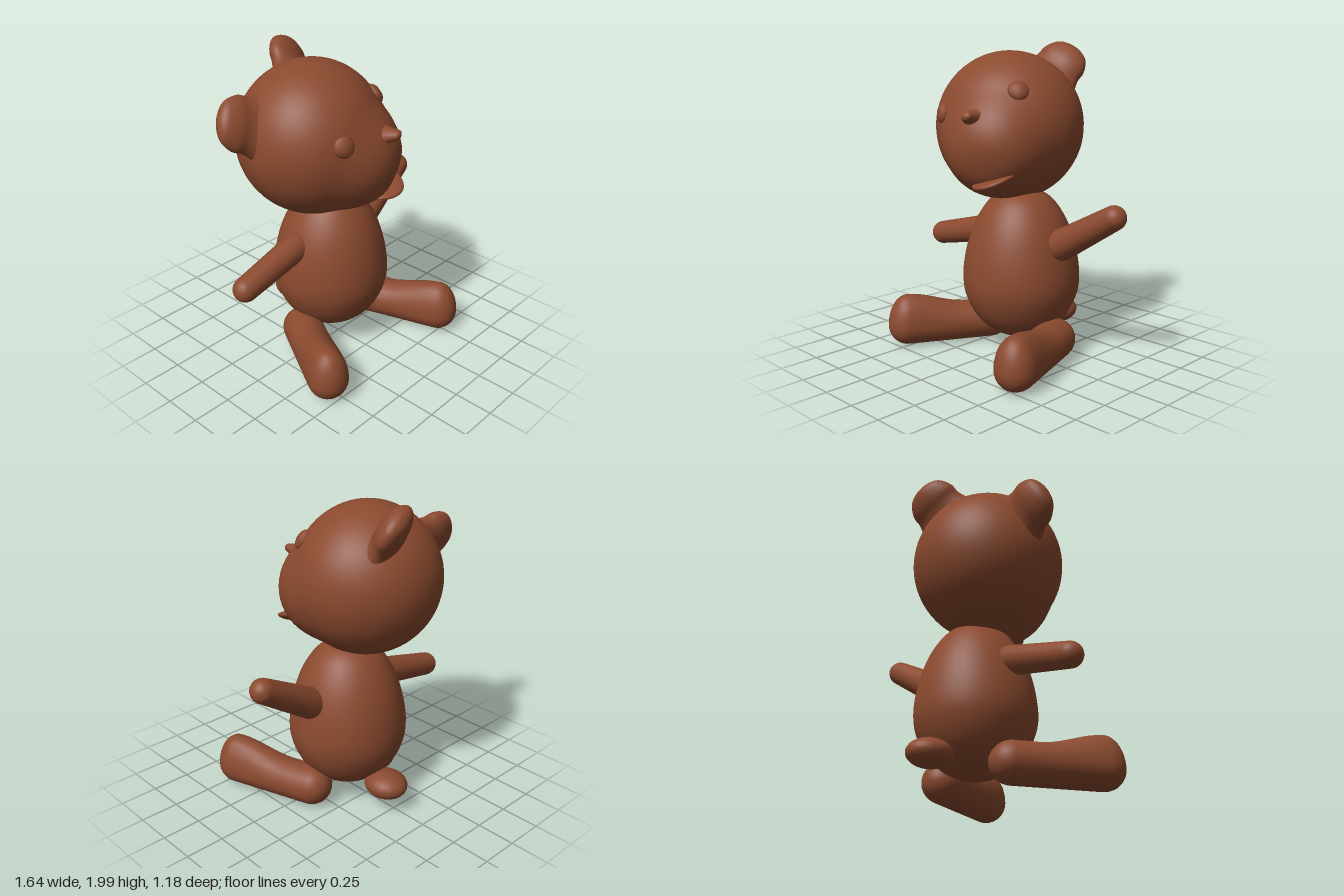
import * as THREE from 'three';
import { mergeVertices } from 'three/addons/utils/BufferGeometryUtils.js';

const fur = new THREE.MeshStandardMaterial({ color: 0x8b4a2f });
const V = (x, y, z) => new THREE.Vector3(x, y, z);

// Move every vertex by a rule, weld the seams and smooth the normals
function smooth(geometry, rule = () => {}) {
  const p = geometry.attributes.position, v = V(0, 0, 0);
  for (let i = 0; i < p.count; i++) {
    v.fromBufferAttribute(p, i);
    rule(v);
    p.setXYZ(i, v.x, v.y, v.z);
  }
  geometry.deleteAttribute('uv');
  geometry.deleteAttribute('normal');
  const welded = mergeVertices(geometry, 1e-4);
  welded.computeVertexNormals();
  return welded;
}

function add(parent, name, geometry, position) {
  const mesh = new THREE.Mesh(geometry, fur);
  mesh.name = name;
  mesh.position.copy(position);
  parent.add(mesh);
  return mesh;
}

function ellipsoid(rx, ry, rz, segments = 24) {
  return smooth(new THREE.SphereGeometry(1, segments, Math.ceil(segments * 0.7)).scale(rx, ry, rz));
}

// Round solid from [radius, height] points, softened by a spline
function turned(points, steps = 32, segments = 32) {
  const spline = new THREE.SplineCurve(points.map(([r, y]) => new THREE.Vector2(r, y)));
  const profile = spline.getPoints(steps).map((p) => p.setX(Math.max(p.x, 0)));
  return new THREE.LatheGeometry(profile, segments);
}

// Tapered round-ended limb from a to b; lift raises the upper side near the end
function limb(parent, name, a, b, ra, rb, lift = 0) {
  const length = a.distanceTo(b), profile = [];
  for (let i = 0; i <= 10; i++) {
    const t = (i / 10 - 1) * Math.PI / 2;
    profile.push(new THREE.Vector2(ra * Math.cos(t), ra * Math.sin(t)));
  }
  for (let i = 1; i < 12; i++) {
    profile.push(new THREE.Vector2(THREE.MathUtils.lerp(ra, rb, i / 12), length * i / 12));
  }
  for (let i = 0; i <= 10; i++) {
    const t = i / 10 * Math.PI / 2;
    profile.push(new THREE.Vector2(rb * Math.cos(t), length + rb * Math.sin(t)));
  }
  profile[0].x = profile[profile.length - 1].x = 0;
  const geometry = smooth(new THREE.LatheGeometry(profile, 24).rotateX(Math.PI / 2), (v) => {
    if (v.y > 0) v.y *= 1 + lift * THREE.MathUtils.smoothstep(v.z, length * 0.3, length);
  });
  add(parent, name, geometry, a).lookAt(b);
}

function createHead() {
  const head = new THREE.Group();
  head.name = 'head';

  // Skull with a flatter face and a swollen muzzle
  const muzzle = V(0, -0.5, 0.87).normalize();
  const skull = smooth(new THREE.SphereGeometry(0.48, 56, 40), (v) => {
    const angle = v.angleTo(muzzle);
    if (v.z > 0) v.z *= 0.94;
    v.multiplyScalar(1 + 0.22 * (1 - THREE.MathUtils.smoothstep(angle, 0.15, 0.95)));
  });
  add(head, 'skull', skull, V(0, 0, 0));

  for (const [side, s] of [['left', 1], ['right', -1]]) {
    // Ear: flat rounded flap with a flared root
    const ear = turned([[0.26, 0.36], [0.2, 0.43], [0.17, 0.5], [0.165, 0.57],
      [0.125, 0.64], [0.07, 0.672], [0, 0.685]]).scale(1, 1, 0.5);
    const earMesh = add(head, side + 'Ear', smooth(ear), V(0, 0, 0));
    const up = V(s * 0.65, 0.65, -0.39).normalize();
    const across = V(up.y, -up.x, 0).normalize();
    earMesh.quaternion.setFromRotationMatrix(
      new THREE.Matrix4().makeBasis(across, up, across.clone().cross(up)));

    // Eye: flat button on the face
    const eye = add(head, side + 'Eye', ellipsoid(0.066, 0.066, 0.036, 10), V(s * 0.267, 0.115, 0.355));
    eye.quaternion.setFromUnitVectors(V(0, 0, 1), eye.position.clone().normalize());
  }

  // Small pointed nose
  const nose = turned([[0.1, -0.07], [0.065, -0.02], [0.045, 0.025], [0.03, 0.06], [0, 0.07]], 16, 16);
  add(head, 'nose', smooth(nose.rotateX(Math.PI / 2).scale(1, 0.75, 1)), V(0, 0, 0.515));

  // Jutting lip, bent upward at the corners
  const lip = smooth(new THREE.SphereGeometry(1, 28, 16).scale(0.145, 0.028, 0.09), (v) => {
    v.y += v.x * v.x * 0.8;
    v.z -= v.x * v.x * 2;
  });
  add(head, 'lip', lip, V(0, -0.405, 0.4)).rotation.x = 0.25;

  // Turned to its left and tilted
  const x = V(0.895, 0.286, -0.343).normalize();
  const y = V(0.29, 0.18, 0.94).cross(x).normalize();
  head.quaternion.setFromRotationMatrix(new THREE.Matrix4().makeBasis(x, y, x.clone().cross(y)));
  head.position.set(-0.11, 1.46, -0.11);
  return head;
}

export function createModel() {
  const bear = new THREE.Group();
  bear.name = 'bear';

  // Egg-shaped body
  const body = turned([[0, 0.09], [0.1, 0.102], [0.21, 0.155], [0.305, 0.25], [0.365, 0.38],
    [0.38, 0.5], [0.362, 0.65], [0.32, 0.8], [0.262, 0.92], [0.19, 1.01], [0.1, 1.06], [0, 1.075]], 44, 40);
  add(bear, 'body', smooth(body), V(0.02, 0, -0.09));

  // Limbs
  limb(bear, 'leftArm', V(0.36, 0.75, -0.1), V(0.74, 0.975, -0.13), 0.1, 0.077);
  limb(bear, 'rightArm', V(-0.29, 0.755, -0.1), V(-0.74, 0.653, -0.08), 0.092, 0.079);
  limb(bear, 'leftLeg', V(0.33, 0.135, -0.08), V(0.51, 0.135, 0.46), 0.13, 0.13, 0.6);
  limb(bear, 'rightLeg', V(-0.265, 0.135, -0.08), V(-0.54, 0.135, 0.415), 0.13, 0.13, 0.6);

  add(bear, 'tail', ellipsoid(0.13, 0.085, 0.145), V(0.02, 0.175, -0.445));
  bear.add(createHead());
  return bear;
}
